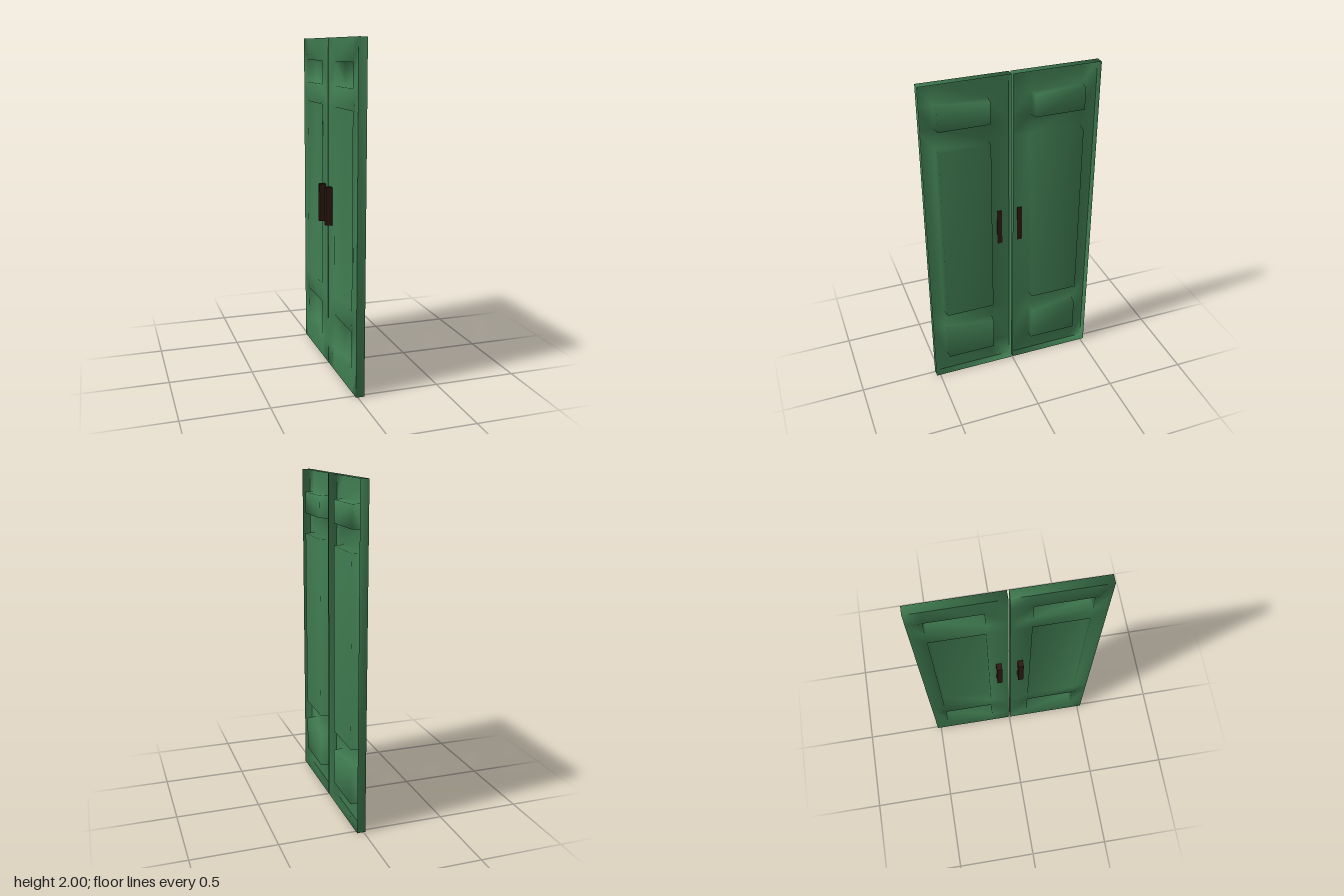
import * as THREE from 'three';
import { mergeVertices } from 'three/addons/utils/BufferGeometryUtils.js';

const FACE = -0.01, RIM = 0.04, TRAY = 0.05;   // depths along x
const Z = [0.005, 0.125, 0.437, 0.523];        // stile edges across one leaf
const PANELS = [[0.14, 0.36], [0.48, 1.61], [1.73, 1.868]];
const TAPER = 0.006;

// Four corners of a rectangle at depth x, counter-clockwise seen from -x
const rect = (x, z0, y0, z1, y1) => [[x, y0, z0], [x, y0, z1], [x, y1, z1], [x, y1, z0]];

// Thin pressed shell: flat face, edge returns and deep panel trays, open behind
function leafGeometry() {
  const pos = [];
  const quad = (a, b, c, d) => pos.push(...a, ...b, ...c, ...a, ...c, ...d);
  const band = (from, to) => from.forEach((a, i) => {
    const j = (i + 1) % 4;
    quad(a, from[j], to[j], to[i]);
  });

  // Face with openings
  const ys = [0, ...PANELS.flat(), 2];
  for (let r = 0; r < ys.length - 1; r++) {
    for (let c = 0; c < 3; c++) {
      if (c === 1 && r % 2 === 1) continue;
      quad(...rect(FACE, Z[c], ys[r], Z[c + 1], ys[r + 1]));
    }
  }
  // Edge returns
  band(rect(RIM, Z[0], 0, Z[3], 2), rect(FACE, Z[0], 0, Z[3], 2));
  // Panel trays
  for (const [y0, y1] of PANELS) {
    const floor = rect(TRAY, Z[1] + TAPER, y0 + TAPER / 2, Z[2] - TAPER, y1 - TAPER / 2);
    band(rect(FACE, Z[1], y0, Z[2], y1), floor);
    quad(...floor);
  }

  const raw = new THREE.BufferGeometry();
  raw.setAttribute('position', new THREE.Float32BufferAttribute(pos, 3));
  const geometry = mergeVertices(raw);
  geometry.computeVertexNormals();
  return geometry;
}

export function createModel() {
  const model = new THREE.Group();
  model.name = 'doubleDoor';
  const green = new THREE.MeshStandardMaterial({ color: 0x3f7a50, side: THREE.DoubleSide });
  const brown = new THREE.MeshStandardMaterial({ color: 0x2e1a12 });
  const leafShape = leafGeometry();
  // Handle bar, its root just piercing the face
  const handleShape = new THREE.BoxGeometry(0.043, 0.23, 0.031);

  for (const [side, name] of [[1, 'frontLeaf'], [-1, 'backLeaf']]) {
    const leaf = new THREE.Group();
    leaf.name = name;
    leaf.scale.z = side;

    const panel = new THREE.Mesh(leafShape, green);
    panel.name = 'doorPanel';

    const handle = new THREE.Mesh(handleShape, brown);
    handle.name = 'handle';
    handle.position.set(-0.0285, 1.02, 0.064);

    leaf.add(panel, handle);
    model.add(leaf);
  }
  return model;
}
